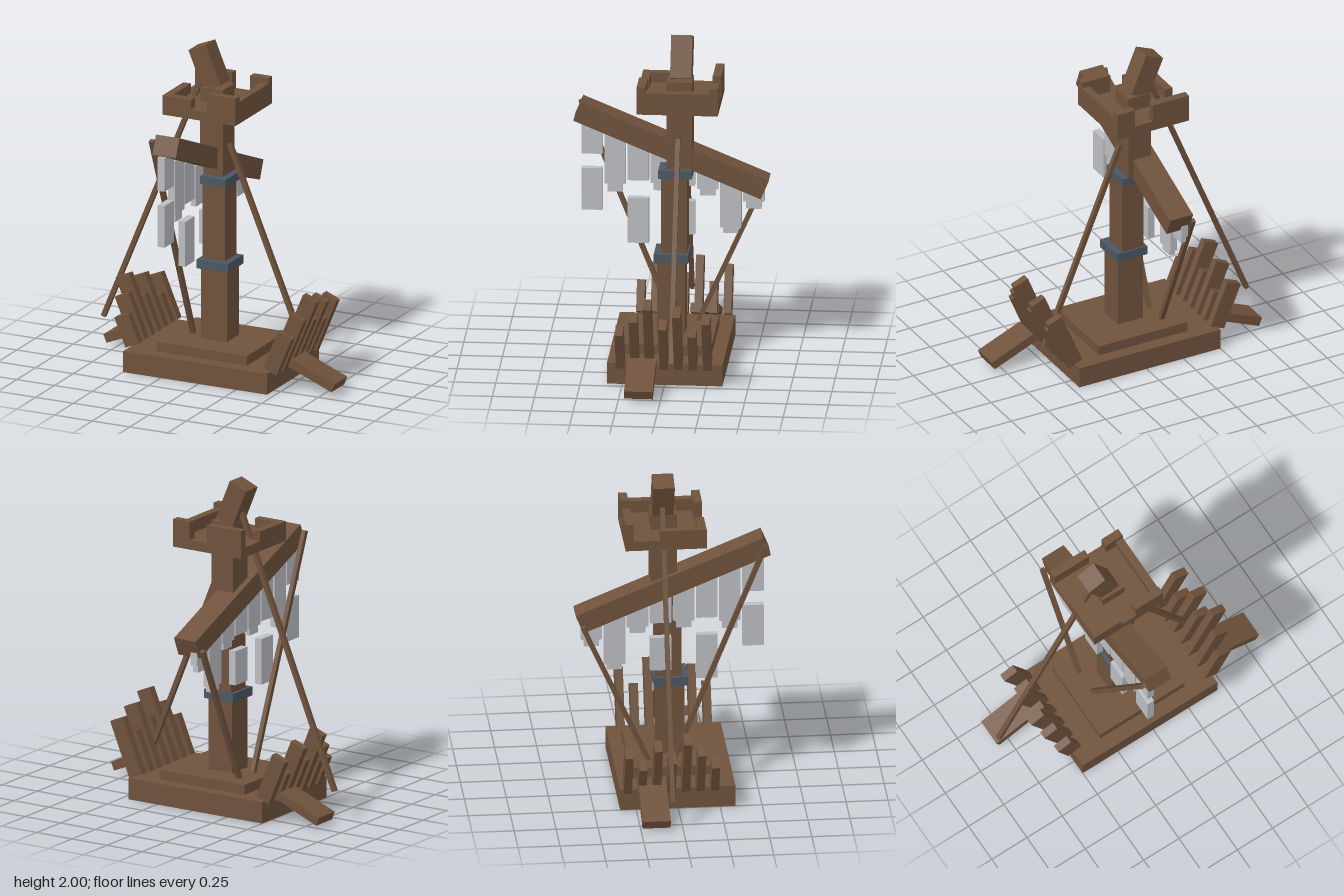
import * as THREE from 'three';

export function createModel() {
  const model = new THREE.Group();
  const paint = (name, color) => {
    const m = new THREE.MeshStandardMaterial({ color });
    m.name = name;
    return m;
  };
  const wood = paint('brown wood', 0x6f523c);
  const iron = paint('dark iron', 0x4b5761);
  const silver = paint('pale silver', 0xbcbec2);
  const TILT = Math.PI / 8;

  // Box from its minimum and maximum on each axis
  function block(name, mat, [x0, x1], [y0, y1], [z0, z1], parent = model) {
    const mesh = new THREE.Mesh(new THREE.BoxGeometry(x1 - x0, y1 - y0, z1 - z0), mat);
    mesh.position.set((x0 + x1) / 2, (y0 + y1) / 2, (z0 + z1) / 2);
    mesh.name = name;
    parent.add(mesh);
    return mesh;
  }

  // Box from its centre and size, tilted about x or z
  function tilted(name, size, centre, rx, rz, parent = model) {
    const mesh = new THREE.Mesh(new THREE.BoxGeometry(...size), wood);
    mesh.position.set(...centre);
    mesh.rotation.set(rx, 0, rz);
    mesh.name = name;
    parent.add(mesh);
    return mesh;
  }

  // Square rod between two points
  function rod(name, a, b, t = 0.028) {
    const p = new THREE.Vector3(...a), q = new THREE.Vector3(...b);
    const d = q.clone().sub(p);
    const mid = p.clone().add(q).multiplyScalar(0.5);
    tilted(name, [t, d.length(), t], mid.toArray(), Math.atan2(d.z, d.y), -Math.atan2(d.x, d.y));
  }

  // Base and plinth
  block('base', wood, [-0.5, 0.455], [0, 0.13], [-0.345, 0.342]);
  block('plinth', wood, [-0.32, 0.28], [0.13, 0.19], [-0.265, 0.255]);

  // Mast in three sections with iron bands
  block('lowerMast', wood, [-0.115, 0.055], [0.19, 0.64], [-0.09, 0.075]);
  block('middleMast', wood, [-0.115, 0.033], [0.64, 1.17], [-0.1, 0.055]);
  block('upperMast', wood, [-0.148, 0.005], [1.17, 1.74], [-0.128, 0.025]);
  block('lowerBand', iron, [-0.135, 0.072], [0.63, 0.685], [-0.11, 0.095]);
  block('upperBand', iron, [-0.13, 0.045], [1.15, 1.2], [-0.13, 0.07]);

  // Lookout platform with broken walls
  const lookout = new THREE.Group();
  lookout.name = 'lookout';
  model.add(lookout);
  block('lookoutFloor', wood, [-0.315, 0.17], [1.59, 1.65], [-0.295, 0.188], lookout);
  [
    ['frontWallRight', [-0.315, -0.125], 1.71, [0.138, 0.188]],
    ['frontWallLeft', [-0.02, 0.17], 1.76, [0.138, 0.188]],
    ['backWallRight', [-0.315, -0.07], 1.76, [-0.295, -0.245]],
    ['backWallLeft', [0.05, 0.17], 1.76, [-0.295, -0.245]],
    ['leftWall', [0.12, 0.17], 1.725, [-0.245, 0.138]],
    ['rightWall', [-0.315, -0.265], 1.71, [-0.09, 0.138]],
  ].forEach(([name, x, top, z]) => block(name, wood, x, [1.65, top], z, lookout));

  // Broken mast top
  tilted('brokenMastTop', [0.124, 0.258, 0.127], [-0.1275, 1.855, -0.058], 0, TILT);

  // Sloping yard
  tilted('yard', [0.155, 0.122, 1.207], [-0.1075, 1.3, 0], -TILT, 0);

  // Rigging rods
  rod('rightStay', [-0.83, 0.185, -0.063], [-0.165, 1.8, -0.063]);
  rod('leftStay', [0.525, 0.15, -0.045], [0.015, 1.39, -0.045]);
  rod('frontYardRod', [-0.205, 0.19, 0], [-0.205, 1.55, 0.55]);
  rod('backYardRod', [-0.205, 0.19, -0.15], [-0.205, 1.06, -0.54]);

  // Torn sail strips: hem height and height of the ragged tip (0 for none)
  const sail = new THREE.Group();
  sail.name = 'tornSail';
  model.add(sail);
  const stripZ = i => 0.478 - i * 0.1375;
  [
    [1.24, 0], [1.055, 1.005], [1.08, 0], [1.065, 1.02],
    [1.055, 0], [1.035, 0.995], [0.8, 0.765], [0.965, 0.92],
  ].forEach(([hem, tip], i) => {
    const z = stripZ(i);
    block('sailStrip', silver, [-0.17, -0.125], [hem, 1.25 + 0.414 * z], [z - 0.063, z + 0.063], sail);
    if (tip) block('sailTip', silver, [-0.165, -0.13], [tip, hem], [z - 0.045, z + 0.045], sail);
  });
  [[0, 0.89, 1.15], [2, 0.69, 0.97], [4, 0.75, 0.96]].forEach(([i, low, high]) => {
    const z = stripZ(i);
    block('sailScrap', silver, [-0.17, -0.125], [low, high], [z - 0.063, z + 0.063], sail);
  });

  // Rows of splintered planks leaning outward
  function plankRow(name, side, foot, z0, lengths) {
    const row = new THREE.Group();
    row.name = name;
    model.add(row);
    lengths.forEach((len, i) => {
      const centre = [
        foot[0] + side * Math.sin(TILT) * len / 2,
        foot[1] + Math.cos(TILT) * len / 2,
        z0 + i * 0.0865,
      ];
      tilted('plank', [0.097, len, 0.048], centre, 0, -side * TILT, row);
    });
  }
  plankRow('leftPlanks', 1, [0.445, 0.125], -0.257, [0.36, 0.257, 0.41, 0.31, 0.464, 0.36, 0.257]);
  plankRow('rightPlanks', -1, [-0.49, 0.137], -0.302, [0.296, 0.19, 0.345, 0.24, 0.394, 0.296, 0.19]);

  // Fallen boards beside the base
  tilted('leftBoard', [0.305, 0.055, 0.17], [0.685, 0.113, 0.125], 0, -TILT);
  tilted('rightBoard', [0.313, 0.055, 0.167], [-0.683, 0.098, -0.158], 0, TILT);

  return model;
}
